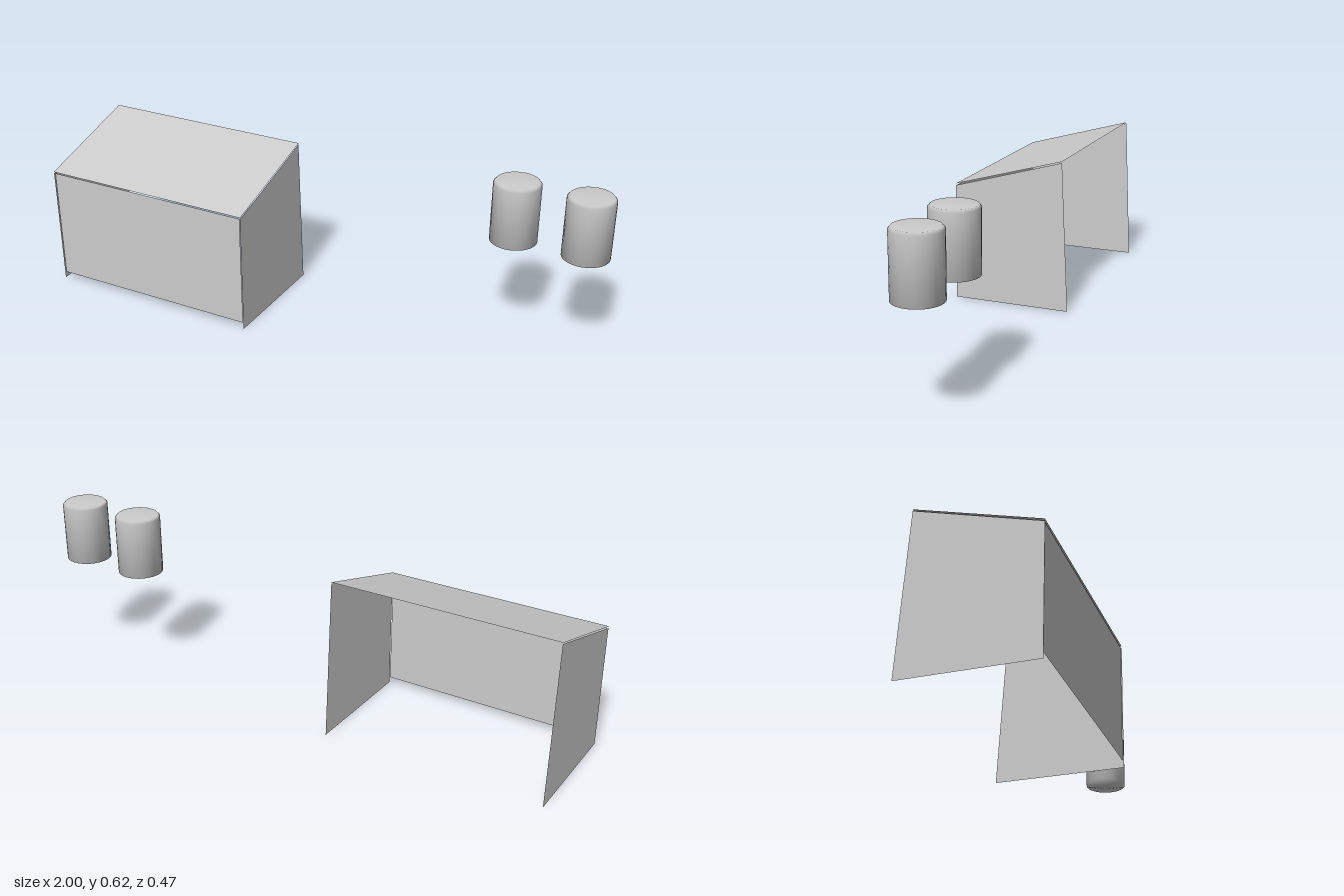
import * as THREE from 'three';

export function createModel() {
  const model = new THREE.Group();
  const grey = new THREE.MeshStandardMaterial({ color: 0xcccccc, side: THREE.DoubleSide });
  grey.name = 'light grey';

  function add(parent, name, geometry) {
    const mesh = new THREE.Mesh(geometry, grey);
    mesh.name = name;
    parent.add(mesh);
    return mesh;
  }

  // Open-backed hood made of thin sheets
  const hood = new THREE.Group();
  hood.name = 'hood';
  model.add(hood);
  const left = -0.19, right = -1, width = left - right, middle = (left + right) / 2;

  // Side panels: outline in (-z, y), turned to face sideways
  const outline = new THREE.Shape([[-0.23, 0], [0.22, 0], [0.19, 0.565], [-0.23, 0.443]]
    .map(([x, y]) => new THREE.Vector2(x, y)));
  for (const [name, x, outward] of [['leftPanel', left, 1], ['rightPanel', right, -1]]) {
    const geometry = new THREE.ShapeGeometry(outline);
    geometry.rotateY(Math.PI / 2);
    const panel = add(hood, name, geometry);
    panel.position.x = x - outward * 0.001;
  }

  // Front panel, stopping just above the ground
  const front = add(hood, 'frontPanel', new THREE.PlaneGeometry(width - 0.01, 0.42));
  front.position.set(middle, 0.234, 0.227);

  // Sloping roof, rising towards the back
  const run = 0.42, rise = 0.12;
  const roof = add(hood, 'roof', new THREE.PlaneGeometry(width, Math.hypot(run, rise)));
  roof.rotation.x = -Math.PI / 2 + Math.atan2(rise, run);
  roof.position.set(middle, 0.51, 0.02);

  // Two raised canisters with a small top bevel and softly blended edges
  const profile = [[0, 0.4], [0.082, 0.4], [0.082, 0.611], [0.074, 0.62], [0, 0.62]]
    .map(([x, y]) => new THREE.Vector2(x, y));
  for (const [name, x] of [['innerCanister', 0.664], ['outerCanister', 0.918]]) {
    add(model, name, new THREE.LatheGeometry(profile, 32)).position.set(x, 0, -0.154);
  }

  return model;
}
